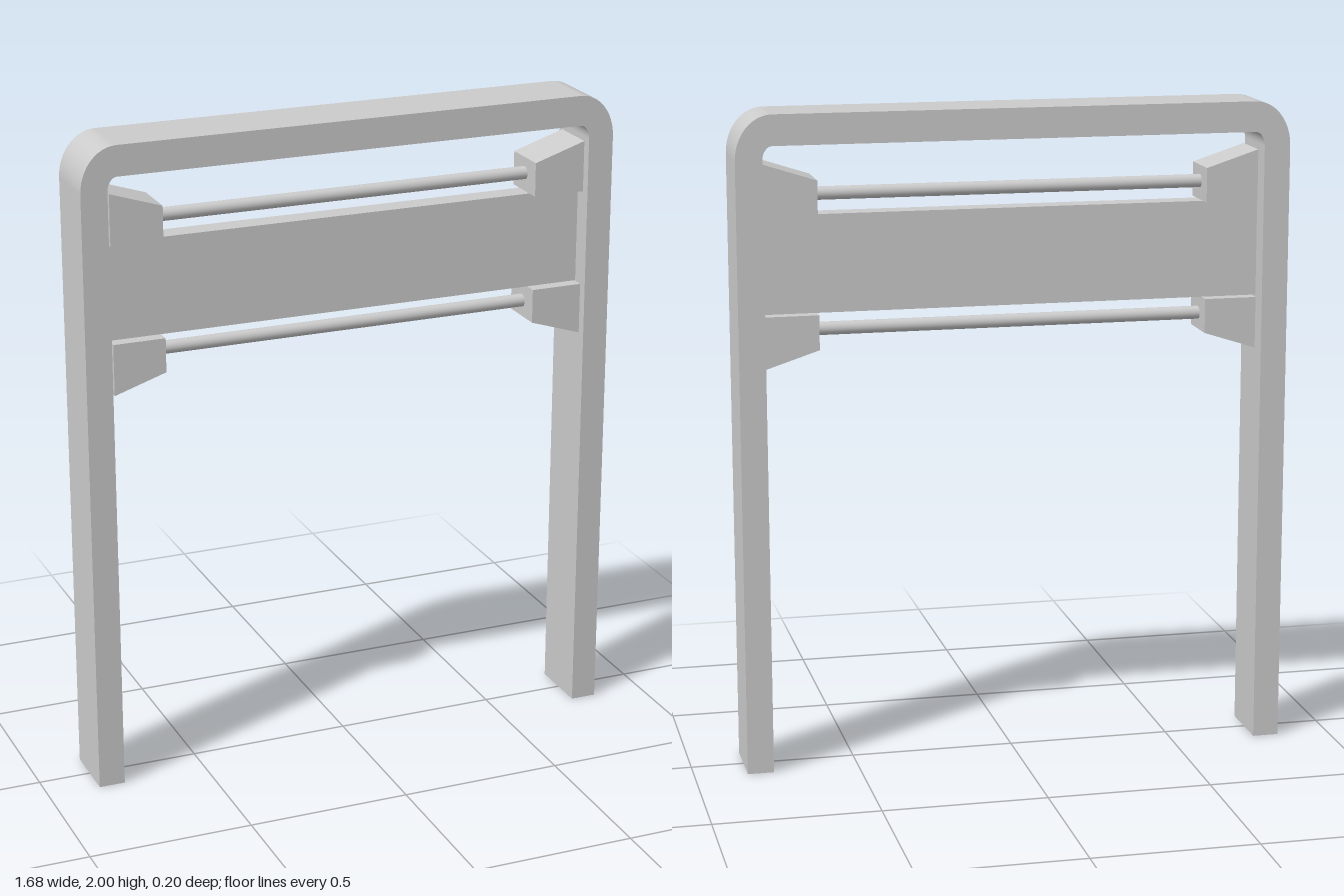
import * as THREE from 'three';

const material = new THREE.MeshStandardMaterial({ color: 0xcccccc });
const openMaterial = new THREE.MeshStandardMaterial({ color: 0xcccccc, side: THREE.DoubleSide });

// Hollow arch swept from foot to foot, open at the bottom of both legs
function frameGeometry(halfDepth) {
  const cx = 0.73, cy = 1.865, steps = 12;
  const stations = [{ outer: [0.84, 0], inner: [0.76, 0] }];
  for (const side of [1, -1]) {
    for (let i = 0; i <= steps; i++) {
      const t = (side > 0 ? i : steps - i) / steps * Math.PI / 2;
      const c = Math.cos(t), s = Math.sin(t);
      stations.push({
        outer: [side * (cx + 0.11 * c), cy + 0.135 * s],
        inner: [side * (cx + 0.03 * c), cy + 0.043 * s],
      });
    }
  }
  stations.push({ outer: [-0.84, 0], inner: [-0.76, 0] });

  // Four separate strips keep the long edges sharp and the bends smooth
  const corners = [['outer', 1], ['outer', -1], ['inner', -1], ['inner', 1]];
  const positions = [], index = [];
  corners.forEach((a, k) => {
    const b = corners[(k + 1) % 4];
    const base = positions.length / 3;
    stations.forEach((st, i) => {
      positions.push(...st[a[0]], a[1] * halfDepth, ...st[b[0]], b[1] * halfDepth);
      if (i === 0) return;
      const p = base + 2 * (i - 1);
      index.push(p, p + 1, p + 2, p + 1, p + 3, p + 2);
    });
  });
  const geometry = new THREE.BufferGeometry();
  geometry.setAttribute('position', new THREE.Float32BufferAttribute(positions, 3));
  geometry.setIndex(index);
  geometry.computeVertexNormals();
  return geometry;
}

// Wedge-shaped block lying against the panel edge, taller at the leg
function bracketGeometry(outerX, innerX, baseY, dir) {
  const depth = 0.15;
  const shape = new THREE.Shape([
    new THREE.Vector2(outerX, baseY),
    new THREE.Vector2(innerX, baseY),
    new THREE.Vector2(innerX, baseY + dir * 0.105),
    new THREE.Vector2(outerX, baseY + dir * 0.157),
  ]);
  return new THREE.ExtrudeGeometry(shape, { depth, bevelEnabled: false }).translate(0, 0, -depth / 2);
}

export function createModel() {
  const model = new THREE.Group();
  const add = (name, geometry, mat = material) => {
    const mesh = new THREE.Mesh(geometry, mat);
    mesh.name = name;
    model.add(mesh);
    return mesh;
  };

  add('frame', frameGeometry(0.1), openMaterial);

  // Cross panel between the legs
  add('panel', new THREE.BoxGeometry(1.52, 0.295, 0.07)).position.y = 1.5475;

  // Brackets and rod above and below the panel
  for (const [level, baseY, dir, rodY] of [['upper', 1.695, 1, 1.752], ['lower', 1.4, -1, 1.346]]) {
    add(level + 'LeftBracket', bracketGeometry(0.757, 0.596, baseY, dir));
    add(level + 'RightBracket', bracketGeometry(-0.748, -0.588, baseY, dir));
    const rod = add(level + 'Rod', new THREE.CylinderGeometry(0.02, 0.02, 1.2, 24));
    rod.rotation.z = Math.PI / 2;
    rod.position.set(0.004, rodY, 0);
  }
  return model;
}
